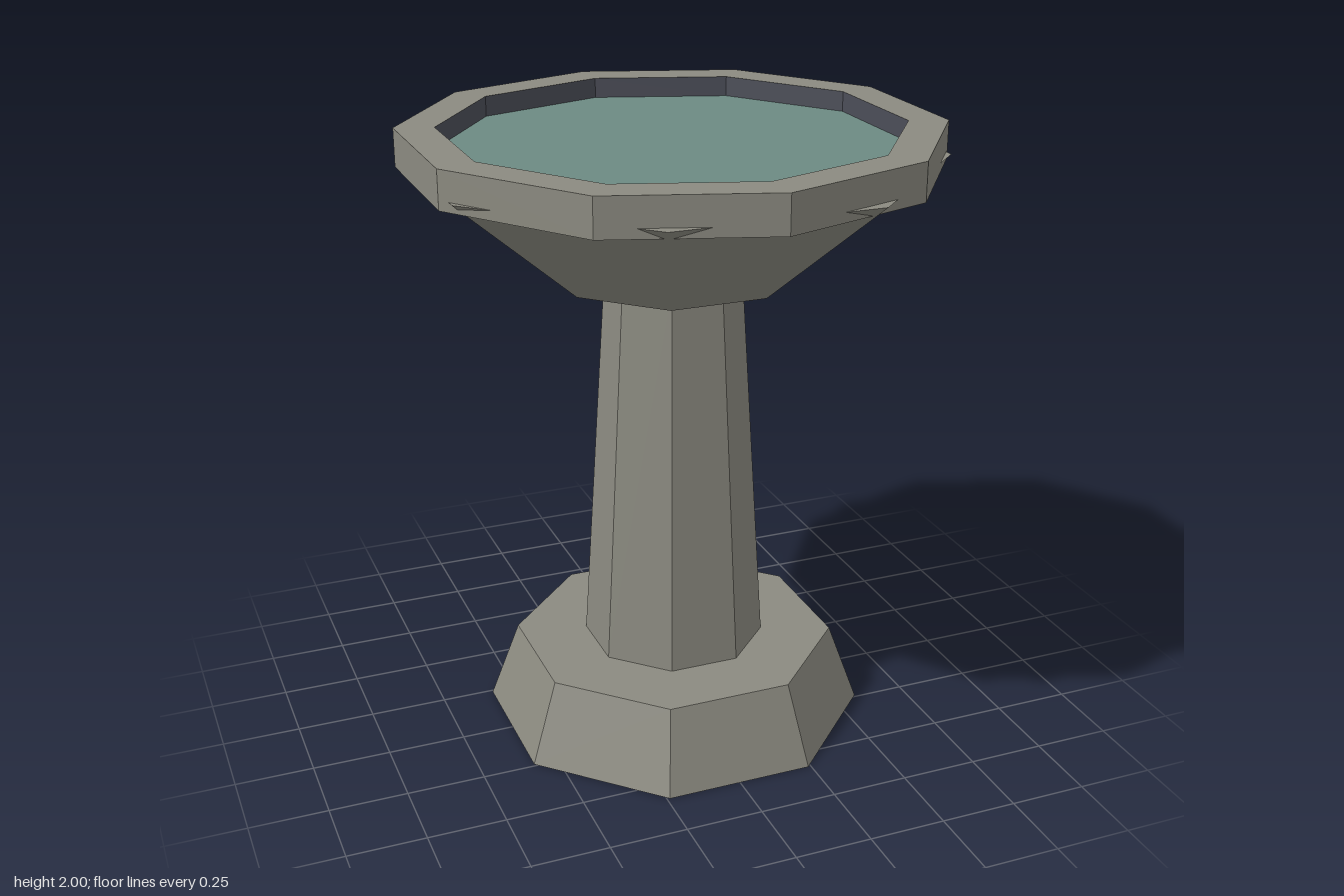
import * as THREE from 'three';

const stone = new THREE.MeshStandardMaterial({ color: 0x8b8a80 });
stone.name = 'stone';
const darkStone = new THREE.MeshStandardMaterial({ color: 0x4c4e58 });
darkStone.name = 'darkStone';
const water = new THREE.MeshStandardMaterial({ color: 0x6c8a83 });
water.name = 'water';

// Mesh with faceted normals
function faceted(name, geometry, material) {
  const flat = geometry.toNonIndexed();
  flat.computeVertexNormals();
  const mesh = new THREE.Mesh(flat, material);
  mesh.name = name;
  return mesh;
}

// Tapered octagon, flat side to the front, sized by the distance to its flats
function octagon(name, bottom, top, y0, y1) {
  const k = 1 / Math.cos(Math.PI / 8);
  const geometry = new THREE.CylinderGeometry(top * k, bottom * k, y1 - y0, 8);
  geometry.rotateY(Math.PI / 8).translate(0, (y0 + y1) / 2, 0);
  return faceted(name, geometry, stone);
}

// Ten-sided ring from a profile of [radius, height] points
function decagon(name, profile, material) {
  const points = profile.map(([r, y]) => new THREE.Vector2(r, y));
  return faceted(name, new THREE.LatheGeometry(points, 10), material);
}

export function createModel() {
  const model = new THREE.Group();
  model.name = 'birdbath';

  const rimOuter = 0.845, rimInner = 0.72, waterY = 1.935;

  // Pedestal and bowl; the bowl's corners poke out just past the rim
  model.add(
    octagon('base', 0.58, 0.49, 0, 0.265),
    octagon('column', 0.275, 0.2, 0.265, 1.54),
    octagon('bowl', 0.37, 0.782, 1.54, 1.91),
  );

  // Rim with its dark inner wall
  model.add(
    decagon('rim', [[rimInner, 1.88], [rimOuter, 1.88], [rimOuter, 2], [rimInner, 2]], stone),
    decagon('rimInnerWall', [[rimInner, 2], [rimInner, waterY]], darkStone),
  );

  // Water surface
  const surface = new THREE.CircleGeometry(rimInner, 10, Math.PI / 2);
  surface.rotateX(-Math.PI / 2).translate(0, waterY, 0);
  model.add(faceted('waterSurface', surface, water));

  return model;
}
